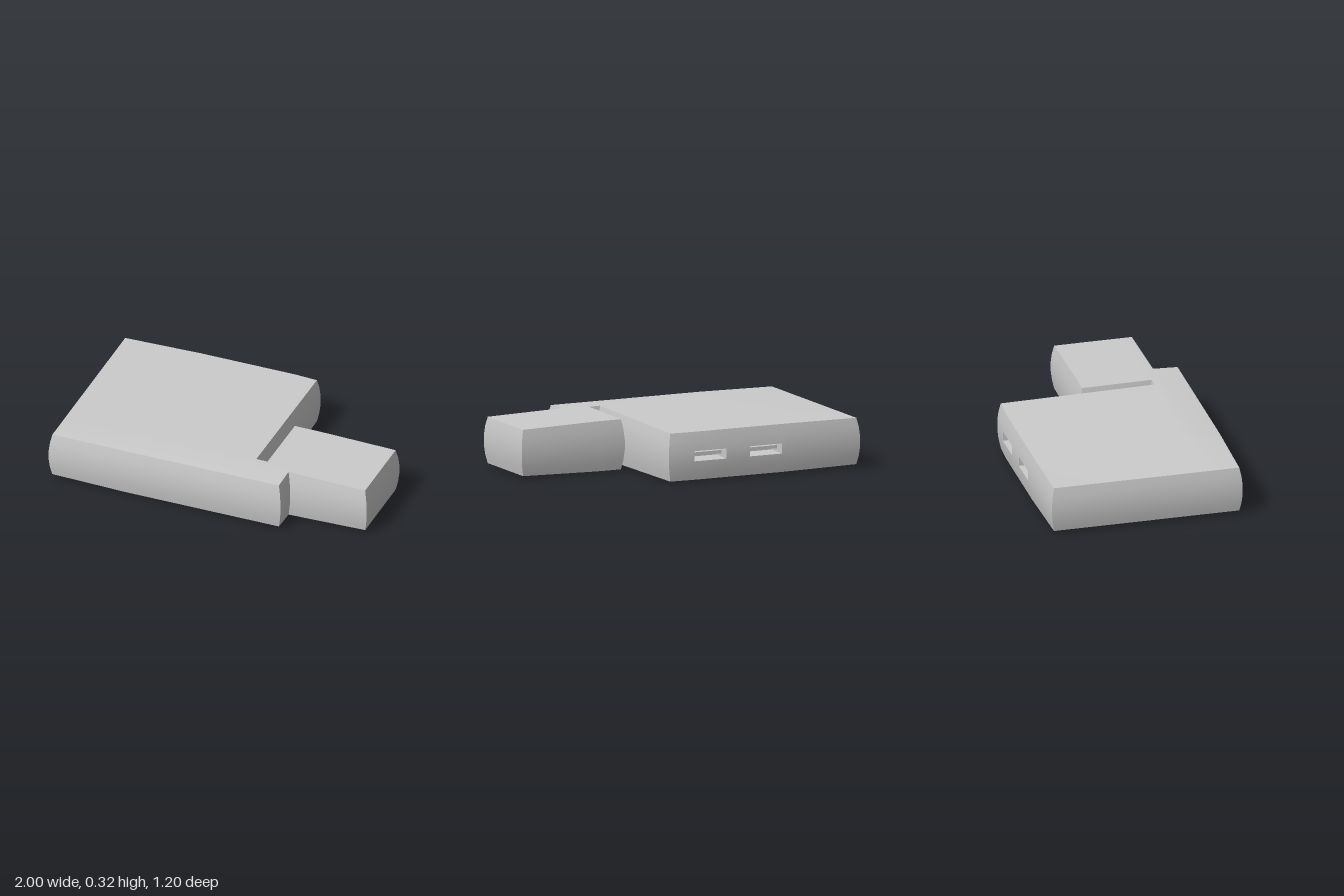
import * as THREE from 'three';
import { toCreasedNormals } from 'three/addons/utils/BufferGeometryUtils.js';

// Plan grid of the slab; the inner x lines frame the sockets, the slot and the plug
const XS = [-0.982, -0.5, -0.475, -0.26, -0.105, 0.11, 0.258, 0.33, 0.487, 0.982];
const ZS = [-0.582, -0.05, 0.38, 0.43, 0.582];
const ROWS = [-1, -0.62, -0.21, 0.21, 0.62, 1]; // heights on the walls, -1 bottom to 1 top
const MID = 0.158;
const BULGE = 0.018;
const SOCKETS = [[-0.475, -0.26], [-0.105, 0.11]];

// Is grid cell (i, j) part of the solid?
function filled(i, j) {
  if (i < 0 || j < 0 || i >= XS.length - 1 || j >= ZS.length - 1) return 0;
  if (XS[i] < 0.25) return 1;                    // main body
  if (XS[i] < 0.3) return j >= 2 ? 1 : 0;        // bridge below the slot
  if (XS[i] < 0.4) return j >= 1 ? 1 : 0;        // root of the plug
  return j === 1 || j === 2 ? 1 : 0;             // plug
}

// Half thickness, thinning softly towards the ends
function halfThickness(x, z) {
  const dx = Math.max(0, (-0.5 - x) / 0.48, (x - 0.26) / 0.72);
  const dz = Math.max((z - 0.43) / 0.152, (0.43 - z) / 1.012);
  return MID - 0.017 * Math.max(dx, dz * 0.7);
}

// Position of grid corner (i, j) at height t, walls bulging at mid height
function corner(i, j, t) {
  const x = XS[i];
  const z = ZS[j];
  const a = filled(i - 1, j - 1), b = filled(i, j - 1), c = filled(i - 1, j), d = filled(i, j);
  const out = BULGE * (1 - t * t);
  const bow = i === 0 || (x === 0.258 && j === 0) ? 0.985 : 1;
  return [
    x + out * Math.sign(a + c - b - d),
    MID + t * halfThickness(x, z),
    (z + out * Math.sign(a + b - c - d)) * bow,
  ];
}

function buildBody() {
  const points = [];
  const quad = (a, b, c, d) => points.push(...a, ...b, ...c, ...a, ...c, ...d);

  // Recess behind a hole in the back wall
  const recess = (hole) => {
    const deep = hole.map(([x, y]) => [x, y, -0.45]);
    hole.forEach((p, k) => {
      const n = (k + 1) % 4;
      quad(p, hole[n], deep[n], deep[k]);
    });
    quad(...deep);
  };

  for (let i = 0; i < XS.length - 1; i++) {
    for (let j = 0; j < ZS.length - 1; j++) {
      if (!filled(i, j)) continue;
      const loop = [[i, j + 1], [i + 1, j + 1], [i + 1, j], [i, j]];
      const beside = [[i, j + 1], [i + 1, j], [i, j - 1], [i - 1, j]];
      // Top and underside
      quad(...loop.map(([u, v]) => corner(u, v, 1)));
      quad(...loop.map(([u, v]) => corner(u, v, -1)).reverse());
      // Walls wherever the neighbouring cell is empty
      loop.forEach((p, k) => {
        if (filled(...beside[k])) return;
        const q = loop[(k + 1) % 4];
        for (let r = 0; r < ROWS.length - 1; r++) {
          const lo = ROWS[r];
          const hi = ROWS[r + 1];
          const face = [corner(...p, lo), corner(...q, lo), corner(...q, hi), corner(...p, hi)];
          const isSocket = k === 2 && j === 0 && r === 2 && SOCKETS.some((s) => s[0] === XS[i]);
          if (isSocket) recess(face);
          else quad(...face);
        }
      });
    }
  }
  const geometry = new THREE.BufferGeometry();
  geometry.setAttribute('position', new THREE.Float32BufferAttribute(points, 3));
  return toCreasedNormals(geometry, 0.5);
}

export function createModel() {
  const group = new THREE.Group();
  group.name = 'adapter';
  const material = new THREE.MeshStandardMaterial({ color: 0xcccccc });

  const body = new THREE.Mesh(buildBody(), material);
  body.name = 'body';
  group.add(body);

  // Contact tongue inside each socket
  SOCKETS.forEach(([x0, x1], n) => {
    const tongue = new THREE.Mesh(new THREE.BoxGeometry((x1 - x0) * 0.85, 0.02, 0.11), material);
    tongue.name = `socketTongue${n + 1}`;
    tongue.position.set((x0 + x1) / 2, MID + 0.006, -0.505);
    group.add(tongue);
  });
  return group;
}
